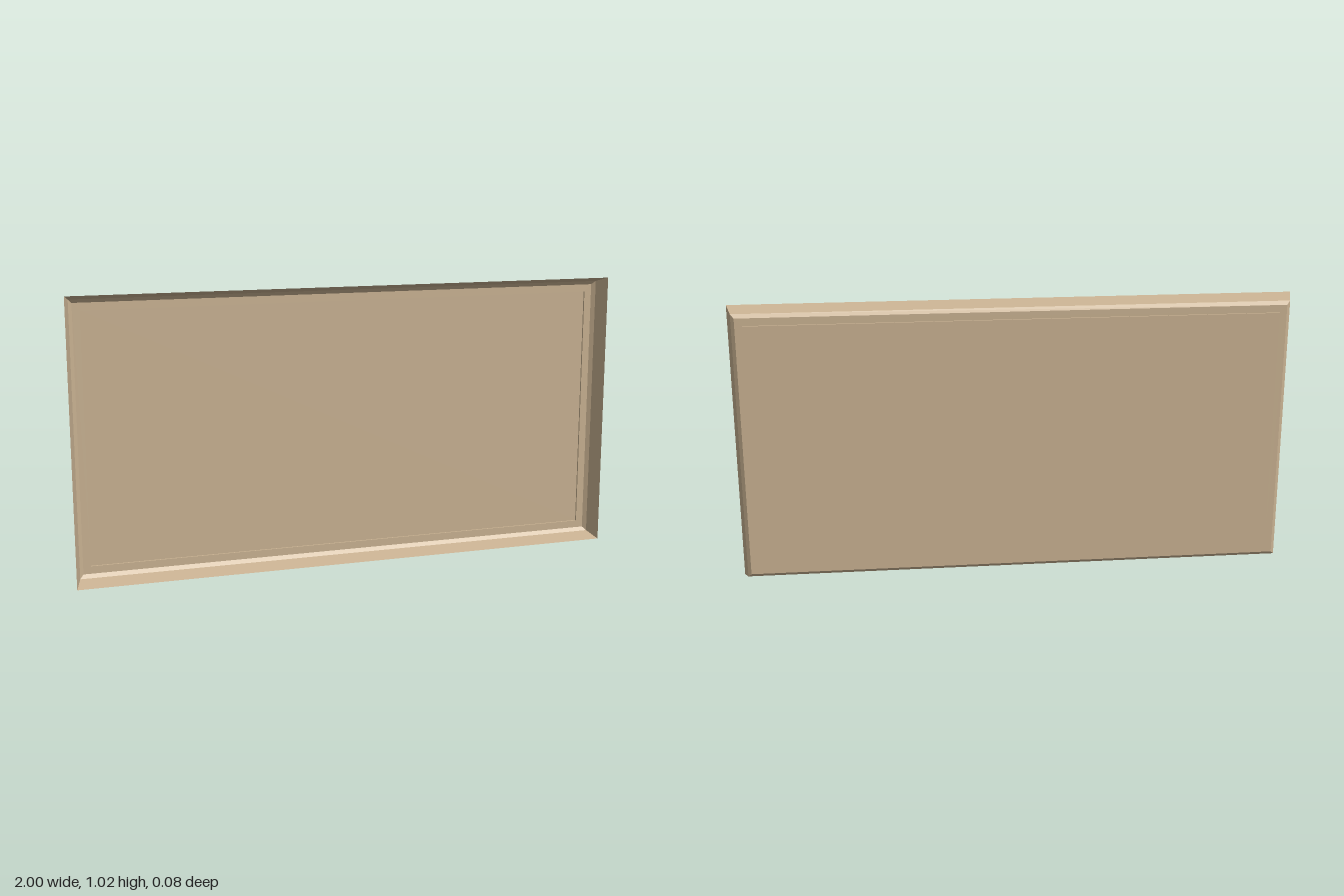
import * as THREE from 'three';

const CENTRE_Y = 0.508;
const HALF_W = 1;
const HALF_H = 0.508;

// Rectangular cross-sections from the open front rim to the back: inset from the rim, and z
const sections = [
  { inset: 0, z: 0.04 },
  { inset: 0.018, z: -0.022 },
  { inset: 0.031, z: -0.033 },
  { inset: 0.058, z: -0.033 },
  { inset: 0.058, z: -0.04 },
];
const bandNames = ['slopedWalls', 'backBevel', 'backBorder', 'panelStep'];

// Four corners of a section, anticlockwise from the front
function corners({ inset, z }) {
  const w = HALF_W - inset, h = HALF_H - inset;
  return [[-w, -h, z], [w, -h, z], [w, h, z], [-w, h, z]];
}

// Four flat, mitred faces joining two sections, facing outward
function band(front, back) {
  const a = corners(front), b = corners(back), points = [];
  for (let i = 0; i < 4; i++) {
    const j = (i + 1) % 4;
    points.push(...a[i], ...b[i], ...b[j], ...a[i], ...b[j], ...a[j]);
  }
  const geometry = new THREE.BufferGeometry();
  geometry.setAttribute('position', new THREE.Float32BufferAttribute(points, 3));
  geometry.computeVertexNormals();
  return geometry;
}

export function createModel() {
  const tan = new THREE.MeshStandardMaterial({ color: 0xc8b191, side: THREE.DoubleSide, flatShading: true });
  tan.name = 'tan';

  const tray = new THREE.Group();
  tray.name = 'tray';
  tray.position.y = CENTRE_Y;

  // Walls, bevel, border and step, one band each
  bandNames.forEach((name, i) => {
    const mesh = new THREE.Mesh(band(sections[i], sections[i + 1]), tan);
    mesh.name = name;
    tray.add(mesh);
  });

  // Flat panel closing the back, facing -z
  const last = sections[sections.length - 1];
  const panel = new THREE.Mesh(
    new THREE.PlaneGeometry(2 * (HALF_W - last.inset), 2 * (HALF_H - last.inset)), tan);
  panel.name = 'backPanel';
  panel.rotation.y = Math.PI;
  panel.position.z = last.z;
  tray.add(panel);

  const model = new THREE.Group();
  model.name = 'model';
  model.add(tray);
  return model;
}
